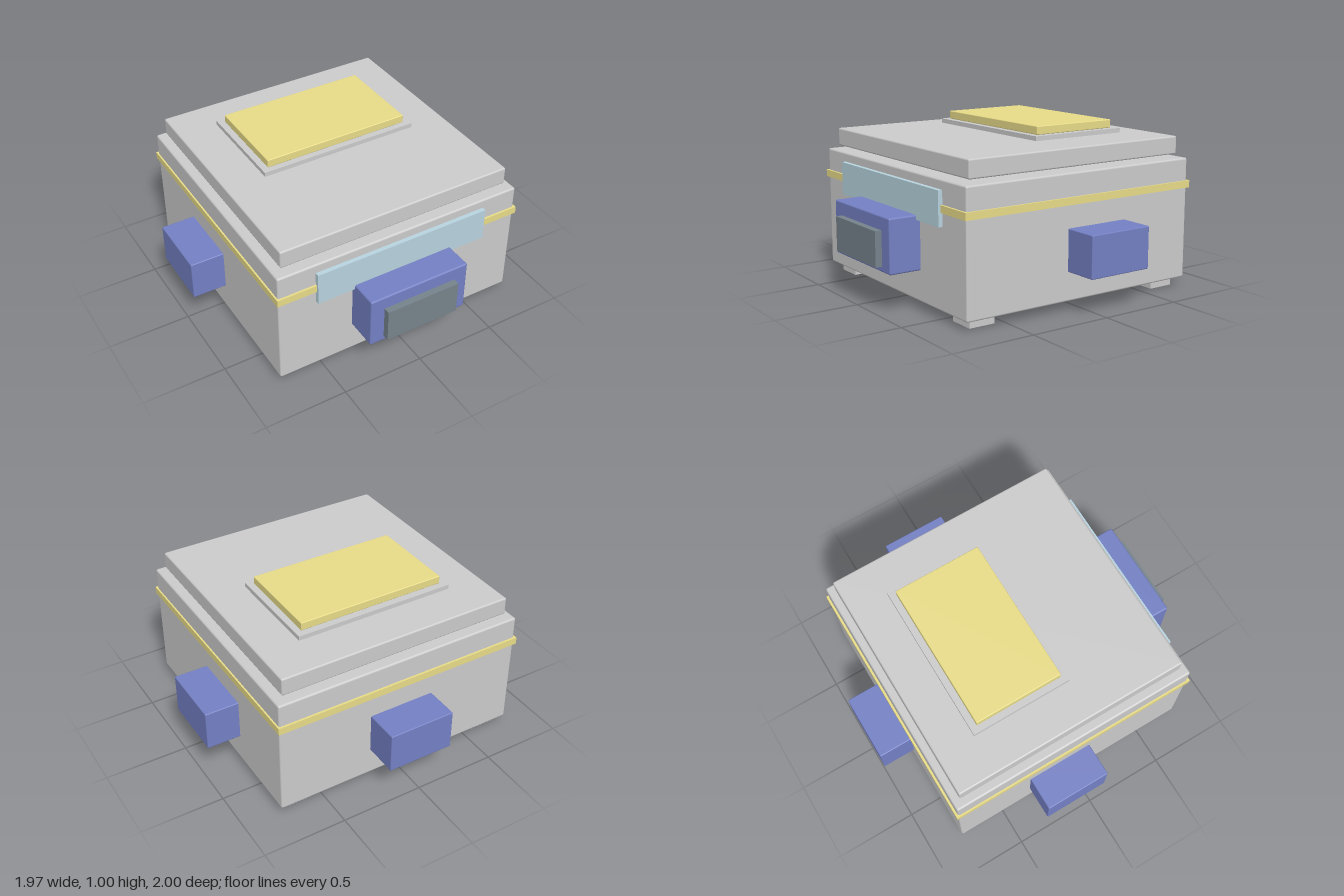
import * as THREE from 'three';
import { RoundedBoxGeometry } from 'three/addons/geometries/RoundedBoxGeometry.js';

const paint = (color) => new THREE.MeshStandardMaterial({ color });

export function createModel() {
  const model = new THREE.Group();
  model.name = 'boxUnit';

  const grey = paint(0xcccccc);
  const yellow = paint(0xe8dc88);
  const blue = paint(0x7480c4);
  const glass = paint(0xb8d4e0);
  const slate = paint(0x76838c);

  // Box given by its extents [min, max] on each axis; bevel rounds the edges.
  function block(name, material, [x0, x1], [y0, y1], [z0, z1], bevel = 0) {
    const size = [x1 - x0, y1 - y0, z1 - z0];
    const geometry = bevel
      ? new RoundedBoxGeometry(...size, 2, bevel)
      : new THREE.BoxGeometry(...size);
    const mesh = new THREE.Mesh(geometry, material);
    mesh.name = name;
    mesh.position.set((x0 + x1) / 2, (y0 + y1) / 2, (z0 + z1) / 2);
    model.add(mesh);
    return mesh;
  }

  // Main case with the band around it
  block('body', grey, [-0.78, 0.78], [0.053, 0.78], [-0.793, 0.767], 0.012);
  block('band', yellow, [-0.79, 0.79], [0.602, 0.645], [-0.806, 0.78]);

  // Lid and the stacked plates on it
  block('lid', grey, [-0.733, 0.733], [0.80, 0.908], [-0.748, 0.719], 0.01);
  block('topPlate', grey, [-0.495, 0.495], [0.92, 0.947], [-0.512, 0.109]);
  block('topPanel', yellow, [-0.457, 0.457], [0.947, 0.997], [-0.472, 0.074], 0.005);

  // Front window, housing and its screen
  block('frontWindow', glass, [-0.55, 0.55], [0.525, 0.725], [0.755, 0.793]);
  block('frontHousing', blue, [-0.318, 0.318], [0.235, 0.552], [0.72, 0.96], 0.01);
  block('frontScreen', slate, [-0.232, 0.232], [0.268, 0.472], [0.94, 1.0]);

  // Blocks on the back and both sides
  block('backBlock', blue, [-0.204, 0.204], [0.224, 0.47], [-1.0, -0.75], 0.006);
  block('leftBlock', blue, [0.74, 0.985], [0.224, 0.47], [-0.31, 0.098], 0.006);
  block('rightBlock', blue, [-0.985, -0.74], [0.224, 0.47], [-0.31, 0.098], 0.006);

  // Four feet
  for (const sx of [-1, 1]) {
    for (const sz of [-1, 1]) {
      const x = sx * 0.645, z = -0.012 + sz * 0.648;
      const name = (sz > 0 ? 'front' : 'back') + (sx > 0 ? 'Left' : 'Right') + 'Foot';
      block(name, grey, [x - 0.08, x + 0.08], [0, 0.06], [z - 0.08, z + 0.08]);
    }
  }

  return model;
}
